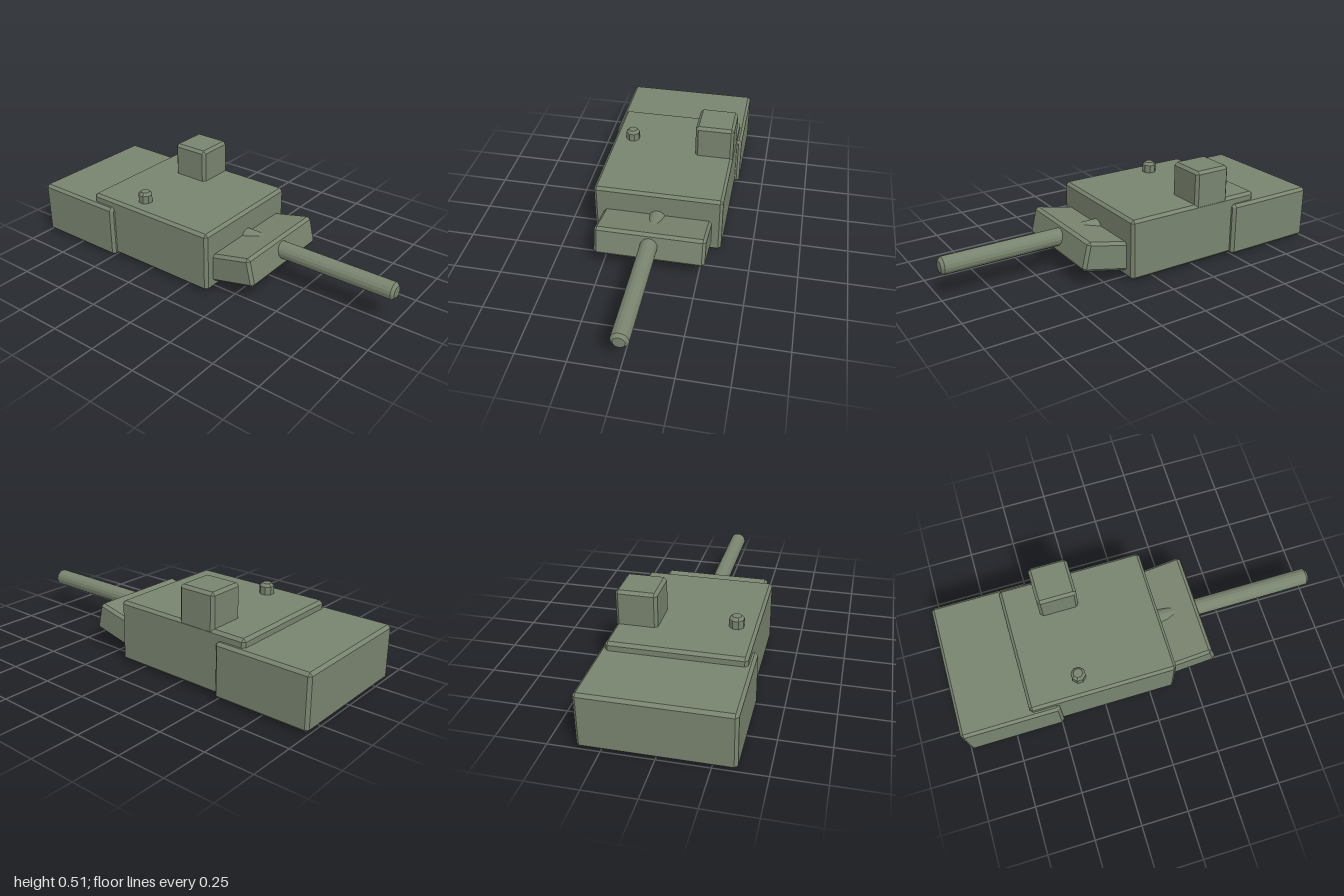
import * as THREE from 'three';
import { ConvexGeometry } from 'three/addons/geometries/ConvexGeometry.js';

const BEVEL = 0.015;

// Box with every edge chamfered, from the hull of its inset corners
function chamferedBox(w, h, d, b = BEVEL) {
  const points = [];
  for (const sx of [-1, 1]) for (const sy of [-1, 1]) for (const sz of [-1, 1]) {
    const x = w / 2, y = h / 2, z = d / 2;
    points.push(
      new THREE.Vector3(sx * x, sy * (y - b), sz * (z - b)),
      new THREE.Vector3(sx * (x - b), sy * y, sz * (z - b)),
      new THREE.Vector3(sx * (x - b), sy * (y - b), sz * z),
    );
  }
  return new ConvexGeometry(points);
}

// Closed upright rod from y = 0, with a chamfered top rim
function chamferedRod(radius, length, topRadius, sides) {
  const profile = [[0, 0], [radius, 0], [radius, length - BEVEL], [topRadius, length], [0, length]];
  return new THREE.LatheGeometry(profile.map(([r, y]) => new THREE.Vector2(r, y)), sides);
}

export function createModel() {
  const group = new THREE.Group();
  const material = new THREE.MeshStandardMaterial({ color: 0x79846f, flatShading: true });

  const add = (name, geometry, x, y, z) => {
    const mesh = new THREE.Mesh(geometry, material);
    mesh.name = name;
    mesh.position.set(x, y, z);
    group.add(mesh);
    return mesh;
  };
  const addBox = (name, [x0, x1], [y0, y1], [z0, z1]) =>
    add(name, chamferedBox(x1 - x0, y1 - y0, z1 - z0),
      (x0 + x1) / 2, (y0 + y1) / 2, (z0 + z1) / 2);

  // Main body and the wider block behind it
  addBox('turretBody', [-0.635, 0.137], [0.01, 0.333], [-0.338, 0.338]);
  addBox('rearBlock', [-1, -0.485], [0.005, 0.29], [-0.363, 0.363]);

  // Roof fittings
  addBox('roofSight', [-0.455, -0.25], [0.29, 0.51], [-0.337, -0.131]);
  const knob = add('roofKnob', chamferedRod(0.038, 0.09, 0.024, 8), -0.353, 0.3, 0.235);
  knob.rotation.y = Math.PI / 8;

  // Tilted gun mantlet
  const mantlet = add('mantlet', chamferedBox(0.3, 0.153, 0.57), 0.222, 0.144, 0);
  mantlet.rotation.z = 0.227;

  // Gun barrel along +x
  const barrel = add('barrel', chamferedRod(0.045, 0.92, 0.03, 16), 0.08, 0.183, 0);
  barrel.rotation.z = -Math.PI / 2;

  // Turret ring under the body
  add('turretRing', new THREE.CylinderGeometry(0.31, 0.31, 0.04, 12), -0.19, 0.02, 0);

  return group;
}
